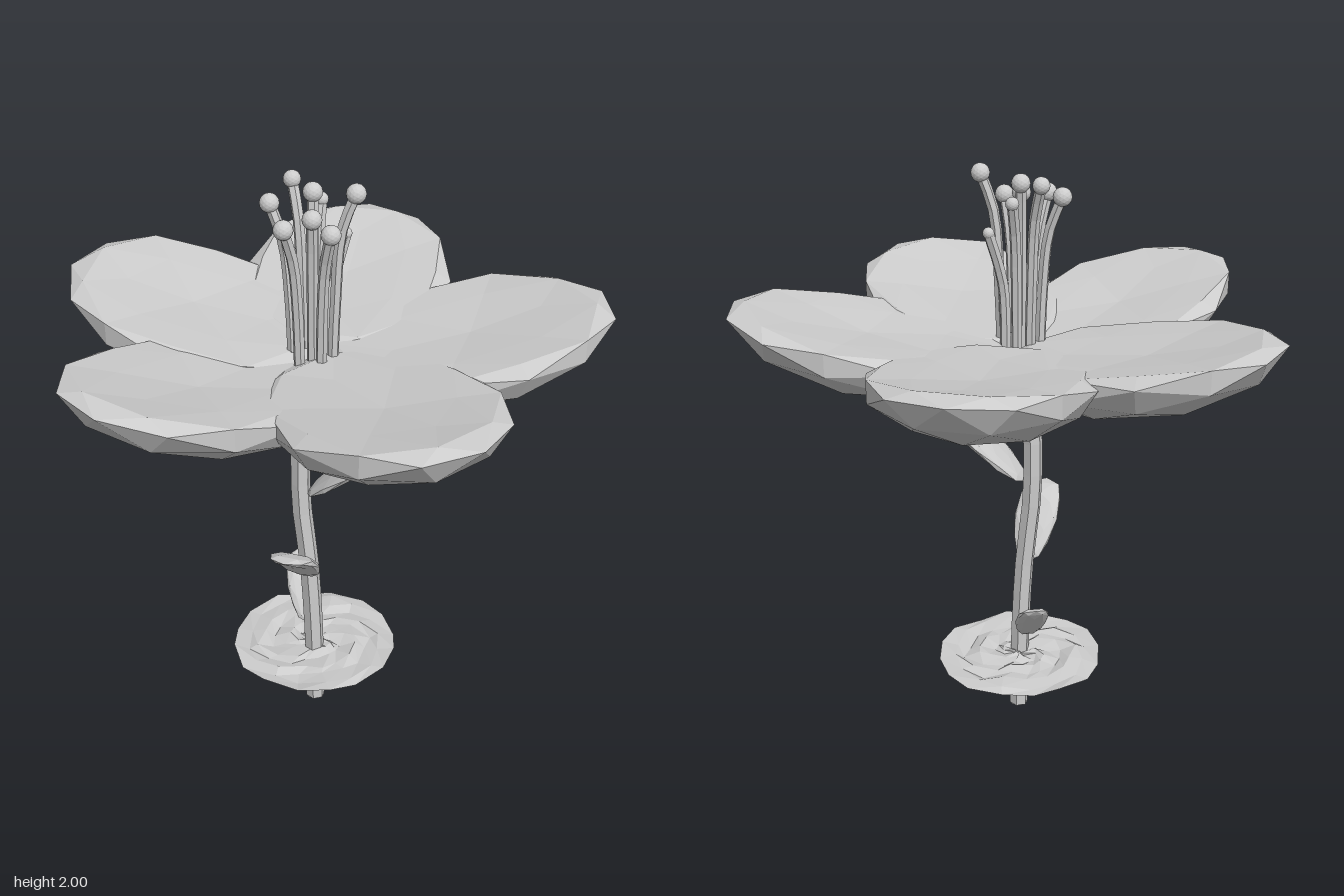
import * as THREE from 'three';

const material = new THREE.MeshStandardMaterial({ color: 0xcccccc, flatShading: true, side: THREE.DoubleSide });
const V = (x, y, z) => new THREE.Vector3(x, y, z);

function add(parent, name, geometry) {
  const mesh = new THREE.Mesh(geometry, material);
  mesh.name = name;
  parent.add(mesh);
  return mesh;
}

// Moves every vertex of a geometry by a rule
function reshape(geometry, rule) {
  const p = geometry.attributes.position;
  const v = new THREE.Vector3();
  for (let i = 0; i < p.count; i++) {
    v.fromBufferAttribute(p, i);
    rule(v);
    p.setXYZ(i, v.x, v.y, v.z);
  }
  geometry.computeVertexNormals();
  return geometry;
}

// Repeatable bumpiness from a position, in -1..1
function noise(x, z) {
  const s = Math.sin(Math.round(x * 1000) * 12.9898 + Math.round(z * 1000) * 78.233) * 43758.5453;
  return (s - Math.floor(s)) * 2 - 1;
}

// Egg-shaped petal: deep rounded underside, rolled rim, dished top, rising outwards along +x
function petalGeometry(turn, reach, halfWidth, slope) {
  const blank = new THREE.IcosahedronGeometry(1, 1).rotateY(turn);
  return reshape(blank, (v) => {
    const { x, y, z } = v;
    const height = y < 0 ? y * 0.155 : y * 0.12 - y * y * 0.09;
    const dx = x * (x > 0 ? reach - 0.48 : 0.5);
    v.set(0.48 + dx, height + 0.035 * x * x + 0.025 * z * z + slope * dx, z * halfWidth);
  });
}

// Thick blunt leaf from its base to its tip, widest beyond the middle and arched upwards
function leafGeometry(base, tip, width, thickness, arch) {
  const along = tip.clone().sub(base);
  const side = V(0, 1, 0).cross(along).normalize();
  const normal = along.clone().cross(side).normalize();
  return reshape(new THREE.IcosahedronGeometry(1, 1), (v) => {
    const t = (v.x + 1) / 2;
    const spread = width * Math.sign(v.z) * Math.abs(v.z) ** 0.8 * (0.8 + 0.3 * t);
    const lift = thickness * v.y + arch * 4 * t * t * (1 - t);
    v.copy(base).addScaledVector(along, t).addScaledVector(side, spread).addScaledVector(normal, lift);
  });
}

export function createModel() {
  const model = new THREE.Group();
  model.name = 'flower';

  // Stem with a slight bend, closed at the foot
  const stemPath = new THREE.CatmullRomCurve3([
    V(-0.015, 0, 0.105), V(-0.02, 0.3, 0.105), V(-0.035, 0.6, 0.105),
    V(-0.06, 0.85, 0.105), V(-0.06, 1.08, 0.105), V(-0.03, 1.3, 0.105), V(-0.02, 1.4, 0.105),
  ]);
  add(model, 'stem', new THREE.TubeGeometry(stemPath, 12, 0.034, 6));
  const foot = add(model, 'stemFoot', new THREE.CircleGeometry(0.033, 6));
  foot.rotation.x = Math.PI / 2;
  foot.position.set(-0.015, 0.001, 0.105);

  // Thin uneven ground disc
  const disc = new THREE.RingGeometry(0.01, 0.285, 16, 6);
  disc.rotateX(-Math.PI / 2);
  reshape(disc, (v) => {
    const { x, z } = v;
    v.set(x + noise(z, x) * 0.012, noise(x, z) * 0.011, z + noise(x + 1, z) * 0.012);
  });
  add(model, 'groundDisc', disc).position.set(-0.025, 0.23, 0.075);

  // Leaves spiralling up the stem
  const leaves = [
    [V(-0.05, 0.31, 0.08), V(-0.125, 0.505, -0.09), 0.06, 0.022, 0.015],
    [V(-0.035, 0.575, 0.13), V(-0.05, 0.795, 0.38), 0.083, 0.025, 0.04],
    [V(-0.04, 0.9, 0.11), V(0.295, 1.135, 0.125), 0.1, 0.026, 0.045],
  ];
  for (const leaf of leaves) add(model, 'leaf', leafGeometry(...leaf));

  // Five overlapping petals: angle, facet turn, reach, half width, slope
  const petals = new THREE.Group();
  petals.name = 'petals';
  petals.position.set(-0.01, 1.435, 0.05);
  const petalSettings = [
    [92, 0, 0.9, 0.355, 0.16],
    [164, 0.28, 0.92, 0.36, 0.17],
    [235, 0.28, 0.92, 0.35, 0.23],
    [307, 0.28, 0.92, 0.35, 0.17],
    [377, 0.28, 0.935, 0.36, 0.18],
  ];
  for (const [angle, ...shape] of petalSettings) {
    add(petals, 'petal', petalGeometry(...shape)).rotation.y = THREE.MathUtils.degToRad(angle);
  }
  model.add(petals);

  // Stamens: a filament bending outwards near the top, with a round anther
  const stamens = [
    [-0.11, 1.96, -0.01, 0.028], [-0.02, 1.9, -0.02, 0.022], [0.06, 1.8, -0.01, 0.019],
    [-0.16, 1.91, 0.07, 0.031], [-0.03, 1.95, 0.05, 0.031], [0.11, 1.97, 0.08, 0.031],
    [-0.01, 1.9, 0.14, 0.031], [0.06, 1.88, 0.19, 0.031], [-0.08, 1.89, 0.21, 0.031],
  ];
  for (const [x, y, z, r] of stamens) {
    const stamen = new THREE.Group();
    stamen.name = 'stamen';
    const at = (f, h) => V(-0.02 + (x + 0.02) * f, h, 0.1 + (z - 0.1) * f);
    const path = new THREE.CatmullRomCurve3([at(0.48, 1.36), at(0.54, 1.6), at(0.68, y - 0.12), at(1, y)]);
    add(stamen, 'filament', new THREE.TubeGeometry(path, 10, 0.018, 6));
    add(stamen, 'anther', new THREE.IcosahedronGeometry(r, 2)).position.set(x, y, z);
    model.add(stamen);
  }
  return model;
}
